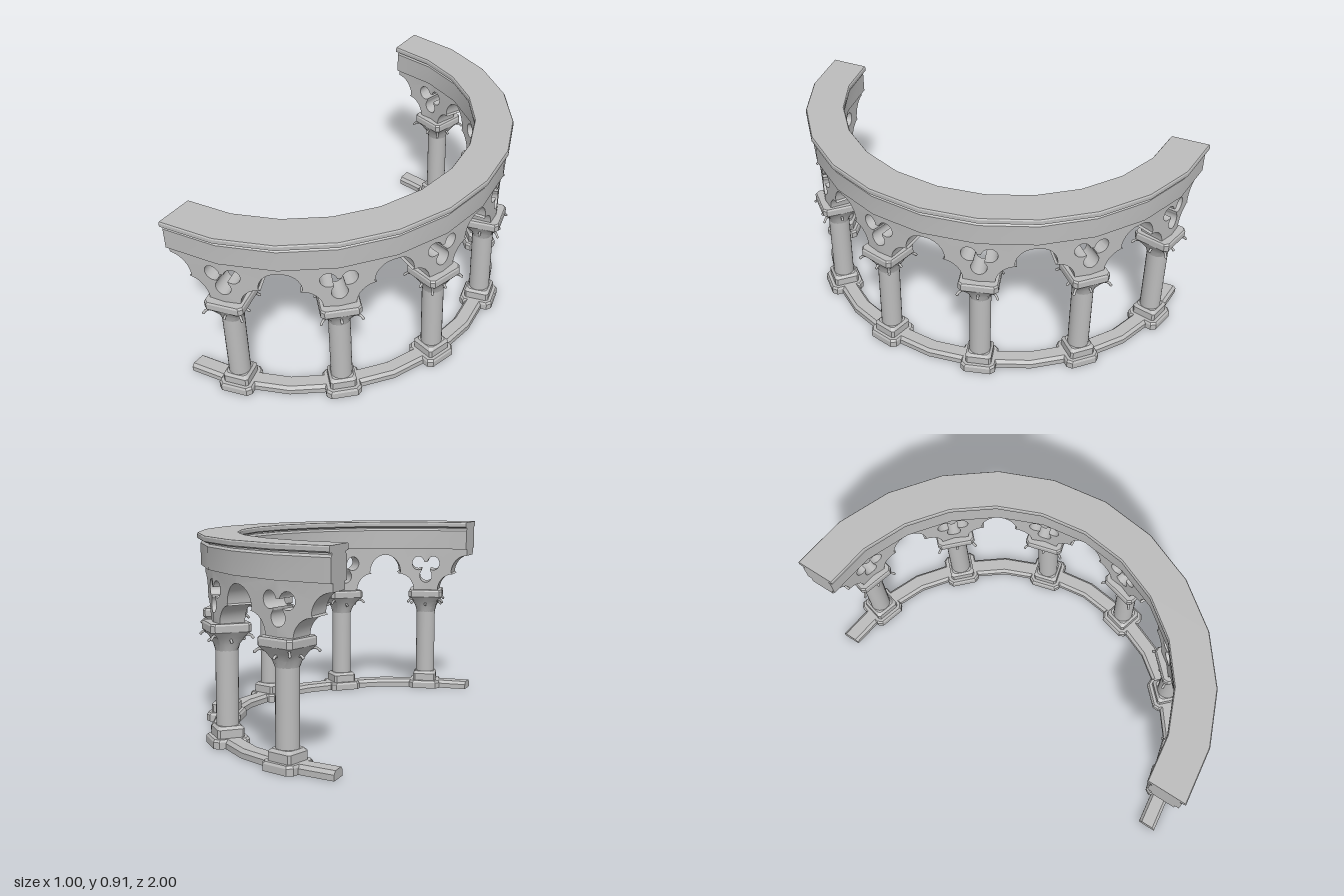
import * as THREE from 'three';
import { mergeGeometries, toCreasedNormals } from 'three/addons/utils/BufferGeometryUtils.js';

const CENTRE_X = -0.5;           // centre of the half circle
const COLUMN_R = 0.906;          // radius on which the columns stand
const BAYS = 6, STEP = Math.PI / 12;

// Sweep a (radius, height) profile round the half circle in 12 facets
function sweep(points) {
  const shape = new THREE.Shape(points.map(([r, y]) => new THREE.Vector2(r, y)));
  const geo = new THREE.ExtrudeGeometry(shape, { depth: 1, steps: 12, bevelEnabled: false });
  const p = geo.attributes.position;
  for (let i = 0; i < p.count; i++) {
    const r = p.getX(i), a = (p.getZ(i) - 0.5) * Math.PI;
    p.setXYZ(i, CENTRE_X + r * Math.cos(a), p.getY(i), r * Math.sin(a));
  }
  return toCreasedNormals(geo, 0.5);
}

// Outline of half a bay: from the column axis to the crown of the next arch
const HALF = 0.25;
function halfBayOutline() {
  const pts = [[0, 0.54], [0, 0.585]];
  const arc = (cx, cy, r, from, to, n) => {
    for (let i = 0; i <= n; i++) {
      const a = THREE.MathUtils.degToRad(from + (to - from) * i / n);
      pts.push([cx + r * Math.cos(a), cy + r * Math.sin(a)]);
    }
  };
  arc(0, 0.622, 0.037, -80, 45, 8);          // lower lobe of the trefoil
  arc(0.046, 0.69, 0.037, -125, 170, 16);    // upper lobe of the trefoil
  pts.push([0, 0.696], [0, 0.775], [HALF, 0.775]);
  arc(HALF, 0.64, 0.095, 90, 180, 10);       // crown lobe of the arch
  arc(0.165, 0.54, 0.093, 90, 180, 8);       // side lobe of the arch
  return pts;
}

// Arcade wall: flat half bays, mitred between neighbouring radii
function arcadeWall(r0, r1) {
  const outline = halfBayOutline(), parts = [];
  for (let k = 0; k < BAYS; k++) for (const side of [-1, 1]) {
    const shape = new THREE.Shape(outline.map(([x, y]) => new THREE.Vector2(side * x / HALF, y)));
    const geo = new THREE.ExtrudeGeometry(shape, { depth: r1 - r0, bevelEnabled: false });
    const p = geo.attributes.position;
    const a0 = -Math.PI / 2 + (2 * k + 1) * STEP, a1 = a0 + side * STEP;
    for (let i = 0; i < p.count; i++) {
      const u = Math.abs(p.getX(i)), r = r0 + p.getZ(i);
      const c = (1 - u) * Math.cos(a0) + u * Math.cos(a1);
      const s = (1 - u) * Math.sin(a0) + u * Math.sin(a1);
      p.setXYZ(i, CENTRE_X + r * c, p.getY(i), -r * s);
    }
    parts.push(geo);
  }
  return toCreasedNormals(mergeGeometries(parts), 0.5);
}

// Loft through rings [y, half width, corner cut, squareness 0..1]
function loft(rings) {
  const pos = [], index = [], N = 20;
  for (const [y, a, cut, sq] of rings) {
    for (let q = 0; q < 4; q++) for (let i = -2; i <= 2; i++) {
      const ang = i * 0.35;
      const x = THREE.MathUtils.lerp(a * Math.cos(ang), a, sq);
      const z = THREE.MathUtils.lerp(a * Math.sin(ang), (a - cut) * i / 2, sq);
      const c = Math.cos(q * Math.PI / 2), s = Math.sin(q * Math.PI / 2);
      pos.push(x * c - z * s, y, x * s + z * c);
    }
  }
  for (let j = 0; j < rings.length - 1; j++) for (let i = 0; i < N; i++) {
    const a = j * N + i, b = j * N + (i + 1) % N;
    index.push(a, a + N, b, b, a + N, b + N);
  }
  const top = (rings.length - 1) * N;
  for (let i = 1; i < N - 1; i++) {
    index.push(0, i, i + 1);
    index.push(top, top + i + 1, top + i);
  }
  const geo = new THREE.BufferGeometry();
  geo.setAttribute('position', new THREE.Float32BufferAttribute(pos, 3));
  geo.setIndex(index);
  return toCreasedNormals(geo, 0.5);
}

// Small curled leaf with a bud at its tip
function leaf(points, radius) {
  const v = points.map(([x, y]) => new THREE.Vector3(x, y, 0));
  const tube = new THREE.TubeGeometry(new THREE.CatmullRomCurve3(v), 6, radius, 6);
  const tip = v[v.length - 1];
  const bud = new THREE.SphereGeometry(radius * 1.1, 8, 6).translate(tip.x, tip.y, 0);
  return mergeGeometries([tube, bud]);
}

export function createModel() {
  const model = new THREE.Group();
  model.name = 'curvedArcade';
  const stone = new THREE.MeshStandardMaterial({ color: 0xbcbcbc });
  stone.name = 'grey stone';
  const add = (parent, name, geo) => {
    const mesh = new THREE.Mesh(geo, stone);
    mesh.name = name;
    parent.add(mesh);
    return mesh;
  };

  // Curved courses
  add(model, 'baseKerb', sweep([[0.865, 0], [0.95, 0], [0.95, 0.025], [0.937, 0.04], [0.878, 0.04], [0.865, 0.025]]));
  add(model, 'arcadeWall', arcadeWall(0.85, 0.965));
  add(model, 'beam', sweep([[0.831, 0.77], [0.984, 0.77], [0.984, 0.868], [0.975, 0.878],
    [0.975, 0.888], [0.84, 0.888], [0.84, 0.878], [0.831, 0.868]]));
  add(model, 'coping', sweep([[0.824, 0.885], [0.991, 0.885], [1, 0.891], [1, 0.908], [0.996, 0.914],
    [0.819, 0.914], [0.815, 0.908], [0.815, 0.891]]));

  // Column parts, shared by all columns
  const plinth = loft([[0, 0.082, 0.02, 1], [0.03, 0.082, 0.02, 1], [0.04, 0.076, 0.02, 1]]);
  const foot = loft([[0.038, 0.061, 0.01, 1], [0.077, 0.061, 0.01, 1], [0.09, 0.051, 0.012, 0.8]]);
  const shaft = new THREE.CylinderGeometry(0.05, 0.05, 0.345, 24, 1, true).translate(0, 0.2575, 0);
  const capital = loft([[0.42, 0.05, 0, 0], [0.45, 0.057, 0.014, 0.35], [0.48, 0.071, 0.015, 0.75],
    [0.508, 0.0905, 0.016, 1], [0.537, 0.0908, 0.016, 1], [0.545, 0.086, 0.016, 1]]);
  const cornerLeaf = leaf([[0.07, 0.475], [0.1, 0.494], [0.118, 0.493], [0.129, 0.483]], 0.006);
  const faceLeaf = leaf([[0.05, 0.462], [0.07, 0.472], [0.08, 0.464]], 0.006);

  for (let k = 0; k < BAYS; k++) {
    const a = -Math.PI / 2 + (2 * k + 1) * STEP;
    const column = new THREE.Group();
    column.name = 'column' + (k + 1);
    column.position.set(CENTRE_X + COLUMN_R * Math.cos(a), 0, -COLUMN_R * Math.sin(a));
    column.rotation.y = a;
    add(column, 'plinth', plinth);
    add(column, 'foot', foot);
    add(column, 'shaft', shaft);
    add(column, 'capital', capital);
    for (let q = 0; q < 4; q++) {
      add(column, 'faceLeaf', faceLeaf).rotation.y = q * Math.PI / 2;
      add(column, 'cornerLeaf', cornerLeaf).rotation.y = (q + 0.5) * Math.PI / 2;
    }
    model.add(column);
  }
  return model;
}
